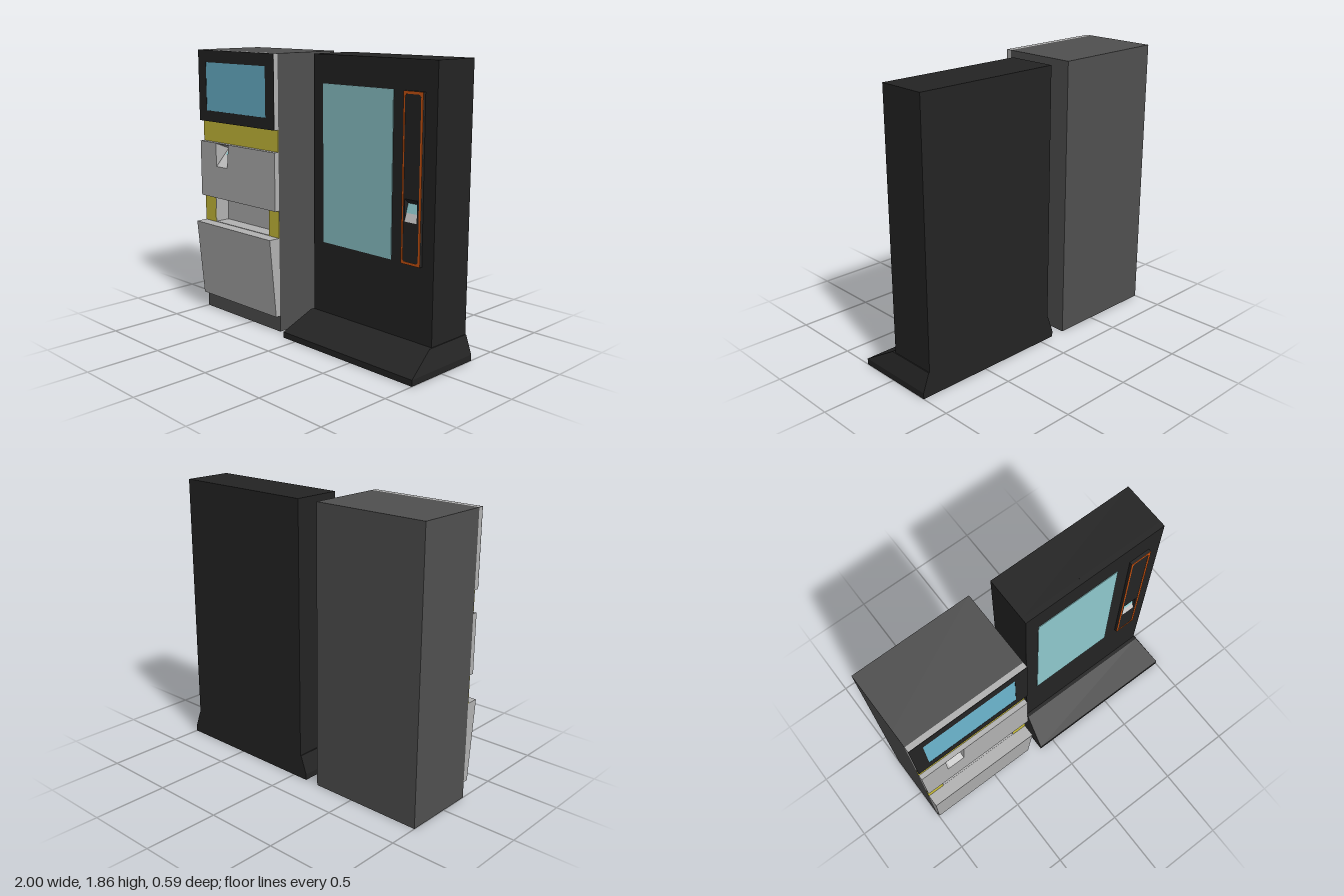
import * as THREE from 'three';

const mat = (name, color, double) => {
  const m = new THREE.MeshStandardMaterial({ color });
  m.name = name;
  if (double) m.side = THREE.DoubleSide;
  return m;
};

export function createModel() {
  const grey = mat('dark grey', 0x505050);
  const light = mat('light grey', 0xb3b3b3, true);
  const black = mat('black', 0x242424, true);
  const yellow = mat('yellow', 0xcfc23c);
  const blue = mat('screen blue', 0x6db8d1);
  const teal = mat('glass teal', 0x90cace, true);
  const orange = mat('orange', 0xcf5510);
  const white = mat('pale grey', 0xcacaca, true);

  const add = (group, name, geometry, material) => {
    const mesh = new THREE.Mesh(geometry, material);
    mesh.name = name;
    group.add(mesh);
  };

  // Box given by its limits
  const box = (x0, x1, y0, y1, z0, z1) =>
    new THREE.BoxGeometry(x1 - x0, y1 - y0, z1 - z0)
      .translate((x0 + x1) / 2, (y0 + y1) / 2, (z0 + z1) / 2);

  // Upright slab with rectangular holes; cut chamfers the hole corners
  const rect = (path, x0, x1, y0, y1, c = 0) => {
    const pts = c
      ? [[x0 + c, y0], [x1 - c, y0], [x1, y0 + c], [x1, y1 - c], [x1 - c, y1], [x0 + c, y1], [x0, y1 - c], [x0, y0 + c]]
      : [[x0, y0], [x1, y0], [x1, y1], [x0, y1]];
    return path.setFromPoints(pts.map(p => new THREE.Vector2(...p)));
  };
  const slab = (x0, x1, y0, y1, z0, z1, holes, cut) => {
    const shape = rect(new THREE.Shape(), x0, x1, y0, y1);
    shape.holes = holes.map(h => rect(new THREE.Path(), ...h, cut));
    return new THREE.ExtrudeGeometry(shape, { depth: z1 - z0, bevelEnabled: false }).translate(0, 0, z0);
  };

  // Flat faces from lists of four corners
  const quads = (...faces) => {
    const g = new THREE.BufferGeometry();
    const pos = faces.flatMap(([a, b, c, d]) => [a, b, c, a, c, d]).flat();
    g.setAttribute('position', new THREE.Float32BufferAttribute(pos, 3));
    g.computeVertexNormals();
    return g;
  };

  // Card reader: tapered pocket with a sloping panel and a small display
  const reader = (group, [x0, x1, y0, y1], inset, yTop, zF, zB, wall, display) => {
    const i0 = x0 + inset, i1 = x1 - inset;
    const a = [i0, y0, zF], b = [i1, y0, zF], c = [i1, yTop, zB], d = [i0, yTop, zB];
    const A = [x0, y0, zF], B = [x1, y0, zF], C = [x1, y1, zF], D = [x0, y1, zF];
    add(group, 'readerPocket', quads([A, a, d, D], [b, B, C, c], [d, c, C, D]), wall);
    add(group, 'readerPanel', quads([a, b, c, d]), white);
    const [u0, u1, t0, t1] = display;
    const at = (u, t) => [i0 + (i1 - i0) * u, y0 + (yTop - y0) * t, zF + (zB - zF) * t + 0.003];
    add(group, 'readerDisplay', quads([at(u0, t0), at(u1, t0), at(u1, t1), at(u0, t1)]), teal);
  };

  // ---- Cash machine ----
  const cash = new THREE.Group();
  cash.name = 'cashMachine';
  const X0 = -1, X1 = -0.21;
  const slot = [-0.825, -0.69, 1.06, 1.222];
  const tray = [-0.885, -0.31, 0.65, 0.83];
  add(cash, 'cabinet', box(X0, X1, 0, 1.86, -0.295, 0.1), grey);
  add(cash, 'cabinetFront', slab(X0, X1, 0, 1.86, 0.1, 0.21, [slot, tray]), grey);

  // Tray recess lining
  const [tx0, tx1, ty0, ty1] = tray;
  add(cash, 'trayBack', box(tx0, tx1, ty0, ty1, 0.1, 0.104), light);
  add(cash, 'trayFloor', box(tx0, tx1, ty0, ty0 + 0.003, 0.1, 0.211), light);
  add(cash, 'trayCeiling', box(tx0, tx1, ty1 - 0.003, ty1, 0.1, 0.211), light);
  add(cash, 'trayLeftWall', box(tx1 - 0.003, tx1, ty0, ty1, 0.1, 0.211), light);
  add(cash, 'trayRightWall', box(tx0, tx0 + 0.003, ty0, ty1, 0.1, 0.211), light);

  // Yellow bands
  add(cash, 'upperBand', box(X0, X1, 1.225, 1.37, 0.21, 0.213), yellow);
  add(cash, 'bandRight', box(X0, tx0, ty0, ty1, 0.21, 0.213), yellow);
  add(cash, 'bandLeft', box(tx1, X1, ty0, ty1, 0.21, 0.213), yellow);

  // Screen housing, bezel and screen
  add(cash, 'screenHousing', box(X0, X1, 1.37, 1.86, 0.21, 0.243), light);
  add(cash, 'screenBezel', slab(X0, X1, 1.37, 1.86, 0.243, 0.246, [[-0.917, -0.295, 1.445, 1.777]]), black);
  add(cash, 'screen', box(-0.917, -0.295, 1.445, 1.777, 0.243, 0.2445), blue);

  // Middle panel with card reader
  add(cash, 'middlePanel', slab(X0, X1, 0.835, 1.225, 0.21, 0.245, [slot]), light);
  reader(cash, slot, 0.016, 1.182, 0.245, 0.145, light, [0.12, 0.88, 0.64, 0.94]);

  // Wedge-shaped lower door, profile drawn in (z, y)
  const wedge = new THREE.Shape([[0.21, 0.11], [0.245, 0.11], [0.295, 0.65], [0.21, 0.65]]
    .map(p => new THREE.Vector2(...p)));
  add(cash, 'lowerDoor', new THREE.ExtrudeGeometry(wedge, { depth: X1 - X0, bevelEnabled: false })
    .rotateY(-Math.PI / 2).scale(1, 1, 1).translate(X1, 0, 0), light);

  // ---- Vending machine ----
  const vend = new THREE.Group();
  vend.name = 'vendingMachine';
  const pocket = [0.735, 0.832, 0.9, 1.038];
  add(vend, 'cabinet', box(-0.06, 0.95, 0.1, 1.858, -0.295, 0), black);
  add(vend, 'cabinetFront', slab(-0.06, 0.95, 0.1, 1.858, 0, 0.035, [pocket]), black);
  add(vend, 'displayGlass', box(0.03, 0.62, 0.64, 1.675, 0.035, 0.039), teal);

  // Control strip with orange outline and card reader
  add(vend, 'controlStrip', slab(0.713, 0.861, 0.64, 1.675, 0.035, 0.054, [pocket]), black);
  add(vend, 'controlOutline', slab(0.713, 0.861, 0.64, 1.675, 0.054, 0.056, [[0.725, 0.846, 0.655, 1.658]], 0.012), orange);
  reader(vend, pocket, 0.002, 1.008, 0.054, 0.02, black, [0, 1, 0.48, 1]);

  // Flared plinth built from three rectangular levels
  const ring = (x0, x1, y, z) => [[x0, y, -0.295], [x0, y, z], [x1, y, z], [x1, y, -0.295]];
  const levels = [ring(-0.11, 1, 0, 0.27), ring(-0.11, 1, 0.04, 0.27), ring(-0.066, 0.956, 0.16, 0.06)];
  const faces = [[...levels[0]].reverse(), levels[2]];
  for (let l = 0; l < 2; l++) {
    for (let i = 0; i < 4; i++) {
      const j = (i + 1) % 4;
      faces.push([levels[l][i], levels[l][j], levels[l + 1][j], levels[l + 1][i]]);
    }
  }
  add(vend, 'plinth', quads(...faces), black);

  const model = new THREE.Group();
  model.name = 'machines';
  model.add(cash, vend);
  return model;
}
